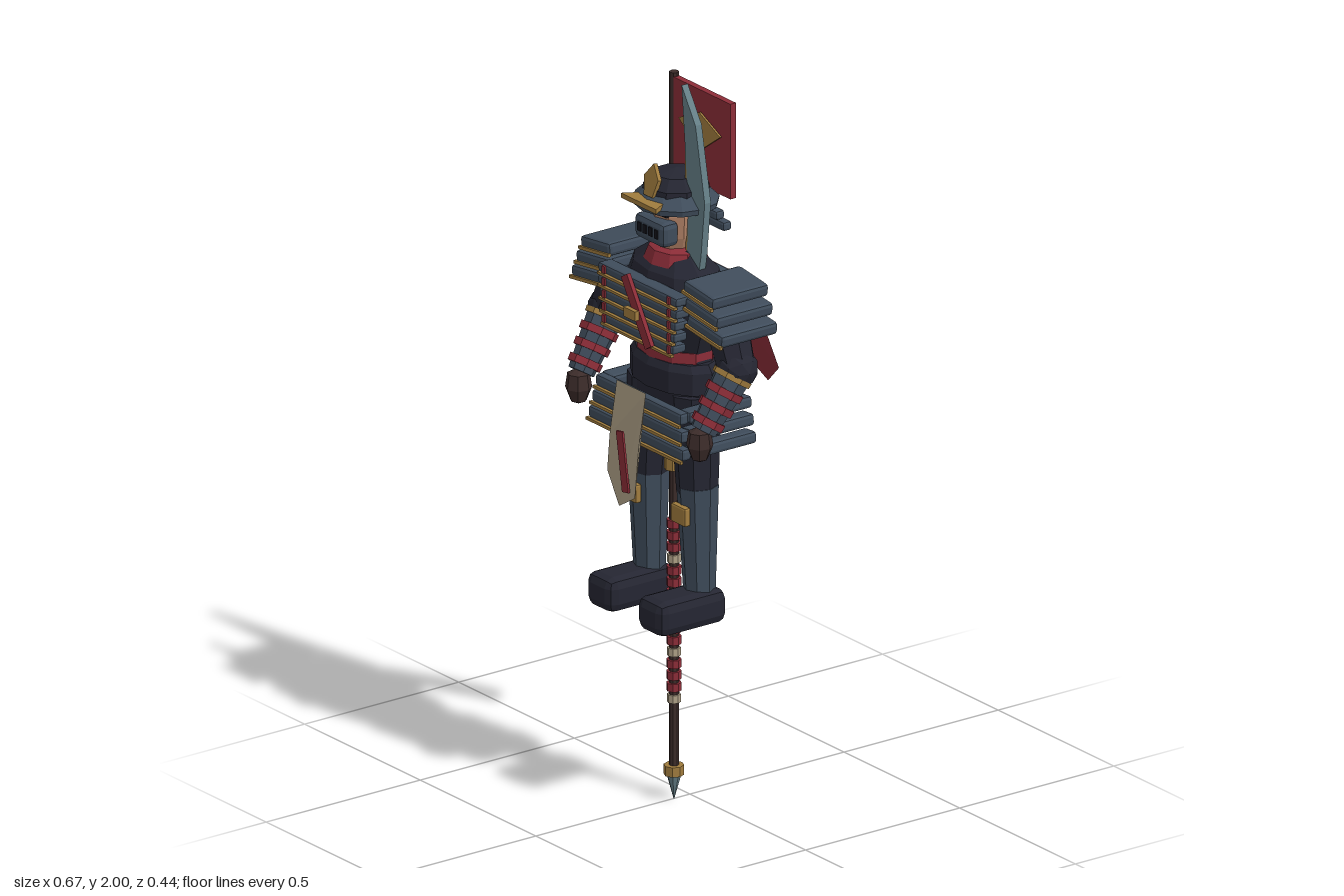
import * as THREE from 'three';
import { RoundedBoxGeometry } from 'three/addons/geometries/RoundedBoxGeometry.js';

const mat = (name, color, side = THREE.FrontSide) =>
  Object.assign(new THREE.MeshStandardMaterial({ color, flatShading: true, side }), { name });

export function createModel() {
  const model = new THREE.Group();
  model.name = 'armouredWarrior';
  const navy = mat('navy cloth', 0x252632), steel = mat('blue lacquer', 0x3f4c5b);
  const red = mat('red', 0x8c2d38, THREE.DoubleSide), gold = mat('gold', 0xa07c3e);
  const brown = mat('dark wood', 0x3c2c2a), cream = mat('cream cloth', 0xb0a288, THREE.DoubleSide);
  const skin = mat('skin', 0xb58468), bladeMat = mat('blade', 0x668088), black = mat('black', 0x14141b);

  const add = (name, geo, material, x = 0, y = 0, z = 0, rz = 0) => {
    const m = new THREE.Mesh(geo, material);
    m.name = name;
    m.position.set(x, y, z);
    m.rotation.z = rz;
    model.add(m);
    return m;
  };
  const box = (name, material, w, h, d, x, y, z, rz = 0) =>
    add(name, new THREE.BoxGeometry(w, h, d), material, x, y, z, rz);
  const soft = (name, material, w, h, d, x, y, z, rz = 0) =>
    add(name, new RoundedBoxGeometry(w, h, d, 1, Math.min(w, h, d) * 0.28), material, x, y, z, rz);
  const ring = (name, material, r, y0, y1, x, z, n = 8, r2 = r) =>
    add(name, new THREE.CylinderGeometry(r2, r, y1 - y0, n), material, x, (y0 + y1) / 2, z);
  const lathe = (name, material, pts, n, x, z, depth = 1) => {
    const m = add(name, new THREE.LatheGeometry(pts.map(p => new THREE.Vector2(...p)), n), material, x, 0, z);
    m.scale.z = depth;
    return m;
  };
  // Tapered limb between two points
  const limb = (name, material, a, b, ra, rb, n = 8) => {
    const A = new THREE.Vector3(...a), B = new THREE.Vector3(...b), d = B.clone().sub(A);
    const m = add(name, new THREE.CylinderGeometry(rb, ra, d.length(), n), material);
    m.position.copy(A).add(B).multiplyScalar(0.5);
    m.quaternion.setFromUnitVectors(new THREE.Vector3(0, 1, 0), d.normalize());
    return m;
  };
  const plate = (name, material, pts, depth, z) =>
    add(name, new THREE.ExtrudeGeometry(new THREE.Shape(pts.map(p => new THREE.Vector2(...p))),
      { depth, bevelEnabled: false }), material, 0, 0, z);
  // Thin fan of triangles through a hanging outline
  const sheet = (name, material, pts) => {
    const g = new THREE.BufferGeometry().setFromPoints(pts.map(p => new THREE.Vector3(...p)));
    const idx = [];
    for (let i = 1; i < pts.length - 1; i++) idx.push(0, i, i + 1);
    g.setIndex(idx);
    g.computeVertexNormals();
    return add(name, g, material);
  };

  // Torso, belt and scarf
  lathe('torso', navy, [[0, 1.02], [0.09, 1.03], [0.14, 1.1], [0.14, 1.2], [0.125, 1.27], [0.165, 1.37],
    [0.175, 1.43], [0.15, 1.49], [0.07, 1.545], [0, 1.55]], 10, 0, 0.045, 0.6);
  lathe('belt', navy, [[0, 1.17], [0.155, 1.17], [0.155, 1.23], [0.14, 1.25], [0, 1.25]], 12, 0, 0.045, 0.62);
  lathe('waistSash', red, [[0, 1.24], [0.128, 1.24], [0.128, 1.28], [0, 1.28]], 10, 0, 0.045, 0.68);
  lathe('scarf', red, [[0, 1.5], [0.095, 1.505], [0.08, 1.54], [0.05, 1.55], [0, 1.55]], 10, 0, 0.045, 0.85);

  // Laced chest and back slats
  for (let i = 0; i < 5; i++) {
    const y = 1.322 + i * 0.034, w = 0.31 + Math.min(i, 3) * 0.01;
    soft('chestSlat', steel, w, 0.026, 0.045, 0, y, 0.15);
    box('chestTrim', gold, w * 0.98, 0.007, 0.012, 0, y - 0.016, 0.171);
    soft('backSlat', steel, w, 0.026, 0.035, 0, y, -0.055);
    box('backTrim', gold, w, 0.007, 0.01, 0, y - 0.016, -0.075);
    for (const s of [1, -1]) box('lacing', red, 0.012, 0.02, 0.006, s * 0.14, y, 0.174);
  }
  box('chestSash', red, 0.03, 0.2, 0.012, 0.022, 1.395, 0.186, 0.55);
  box('sashBuckle', gold, 0.05, 0.026, 0.014, 0.01, 1.388, 0.198);

  for (const s of [1, -1]) {
    // Shoulder plates, widening downward
    for (let i = 0; i < 3; i++) {
      const w = 0.13 + i * 0.012, x = s * (0.222 + i * 0.014), y = 1.49 - i * 0.046, t = -s * 0.12;
      soft('shoulderPlate', steel, w, 0.036, 0.185, x, y, 0.05, t);
      box('shoulderTrim', gold, w, 0.009, 0.009, x, y - 0.014, 0.143, t);
    }
    // Arm with banded forearm guard
    const elbow = [s * 0.275, 1.285, 0.055], wrist = [s * 0.264, 1.13, 0.155];
    const at = t => elbow.map((v, k) => v + (wrist[k] - v) * t);
    limb('upperArm', navy, [s * 0.195, 1.45, 0.045], elbow, 0.065, 0.052);
    add('elbow', new THREE.IcosahedronGeometry(0.058, 1), navy, ...elbow);
    limb('forearm', steel, at(0), wrist, 0.052, 0.036);
    limb('cuff', gold, at(0.1), at(0.18), 0.056, 0.055);
    for (const t of [0.32, 0.56, 0.8]) limb('armBand', red, at(t), at(t + 0.11), 0.058 - t * 0.014, 0.057 - t * 0.014);
    lathe('hand', brown, [[0, 1.045], [0.022, 1.055], [0.036, 1.09], [0.03, 1.13], [0, 1.145]], 7, s * 0.262, 0.165);

    // Side skirt plates
    for (let i = 0; i < 3; i++)
      soft('sideSkirt', steel, 0.05, 0.034, 0.205, s * (0.168 + i * 0.01), 1.137 - i * 0.046, 0.043, s * 0.08);

    // Leg, knee guard and boot
    limb('thigh', navy, [s * 0.105, 0.89, 0.055], [s * 0.09, 1.16, 0.05], 0.055, 0.07);
    limb('shin', steel, [s * 0.108, 0.6, 0.05], [s * 0.106, 0.91, 0.055], 0.042, 0.056);
    soft('kneeGuard', gold, 0.064, 0.052, 0.02, s * 0.106, 0.838, 0.11);
    soft('boot', navy, 0.114, 0.096, 0.22, s * 0.11, 0.576, 0.108);
  }

  // Front skirt plates
  for (let i = 0; i < 3; i++) {
    const y = 1.137 - i * 0.046, w = 0.37 + i * 0.02;
    soft('frontSkirt', steel, w, 0.034, 0.03, 0, y, 0.155 + i * 0.004);
    box('frontSkirtTrim', gold, w, 0.008, 0.009, 0, y - 0.018, 0.172 + i * 0.004);
  }

  // Hanging front cloth with a slanted stripe
  sheet('frontCloth', cream, [[0.06, 1.178, 0.188], [-0.066, 1.178, 0.188], [-0.07, 1.03, 0.208],
    [-0.075, 0.93, 0.212], [-0.03, 0.842, 0.207], [0.042, 0.885, 0.21], [0.055, 1.03, 0.208]]);
  box('clothStripe', red, 0.028, 0.165, 0.006, -0.003, 0.975, 0.215, 0.16);

  // Head, eyes and face guard
  lathe('head', skin, [[0, 1.52], [0.045, 1.53], [0.062, 1.58], [0.068, 1.64], [0.06, 1.7], [0, 1.71]], 10, 0, 0.045);
  for (const s of [1, -1]) box('eye', black, 0.032, 0.016, 0.01, s * 0.03, 1.652, 0.108);
  soft('faceGuard', steel, 0.13, 0.068, 0.055, 0, 1.6, 0.108);
  for (let i = 0; i < 4; i++) box('faceSlot', black, 0.014, 0.024, 0.006, -0.036 + i * 0.024, 1.602, 0.136);
  for (let i = 0; i < 2; i++)
    soft('neckGuard', steel, 0.18 + i * 0.025, 0.026, 0.028, 0, 1.632 - i * 0.03, -0.032 - i * 0.014);

  // Helmet with visor and crest
  lathe('helmetBrim', steel, [[0.07, 1.665], [0.115, 1.66], [0.118, 1.675], [0.085, 1.705], [0, 1.71]], 12, 0, 0.045, 0.95);
  lathe('helmetDome', navy, [[0.088, 1.69], [0.086, 1.715], [0.06, 1.745], [0, 1.757]], 10, 0, 0.045);
  const visor = plate('visor', gold, [[-0.052, -0.125], [0.052, -0.125], [0.076, -0.167], [-0.076, -0.167]].reverse(), 0.013, 0);
  visor.rotation.x = -Math.PI / 2;
  visor.position.y = 1.677;
  const crest = plate('crest', gold, [[-0.018, 0], [0.018, 0], [0.03, 0.05], [0, 0.088], [-0.03, 0.05]], 0.012, 0.125);
  crest.position.y = 1.695;
  crest.rotation.x = -0.22;

  // Back banner and pole
  ring('bannerPole', brown, 0.013, 1.155, 1.94, -0.175, -0.08);
  box('banner', red, 0.25, 0.265, 0.018, -0.045, 1.797, -0.08);
  plate('bannerDiamond', gold, [[-0.13, 1.83], [-0.04, 1.765], [0.05, 1.83], [-0.04, 1.872]], 0.006, -0.066);

  // Cape: two bent strips ending in a point
  const top = [[-0.055, 1.47, -0.07], [0.075, 1.47, -0.07]];
  const mid = [[-0.052, 1.37, -0.125], [0.12, 1.36, -0.13]];
  sheet('capeTop', red, [top[0], mid[0], mid[1], top[1]]);
  sheet('capeTail', red, [mid[0], [-0.045, 1.21, -0.175], [0.045, 1.115, -0.22], [0.145, 1.19, -0.18], mid[1]]);

  // Polearm: spike, shaft, wraps, collars and curved blade
  ring('spike', bladeMat, 0.001, 0, 0.07, 0, 0.052, 8, 0.02);
  ring('shaft', brown, 0.013, 0.06, 1.5, 0, 0.052);
  ring('lowerCollar', gold, 0.027, 0.068, 0.095, 0, 0.052);
  ring('upperCollar', gold, 0.026, 0.92, 0.955, 0, 0.052);
  for (let i = 0; i < 16; i++) {
    const y = 0.27 + i * 0.0325, light = i % 4 === 0;
    ring('gripWrap', light ? cream : red, light ? 0.018 : 0.02, y, y + 0.022, 0, 0.052);
  }
  plate('blade', bladeMat, [[0.04, 2], [0.055, 1.83], [0.068, 1.68], [0.062, 1.5], [0.115, 1.5], [0.124, 1.55],
    [0.14, 1.7], [0.1, 1.905]].reverse(), 0.02, 0.037);
  plate('bladeSpine', gold, [[0.052, 1.84], [0.055, 1.52], [0.072, 1.52], [0.07, 1.68]], 0.005, 0.05);
  return model;
}
